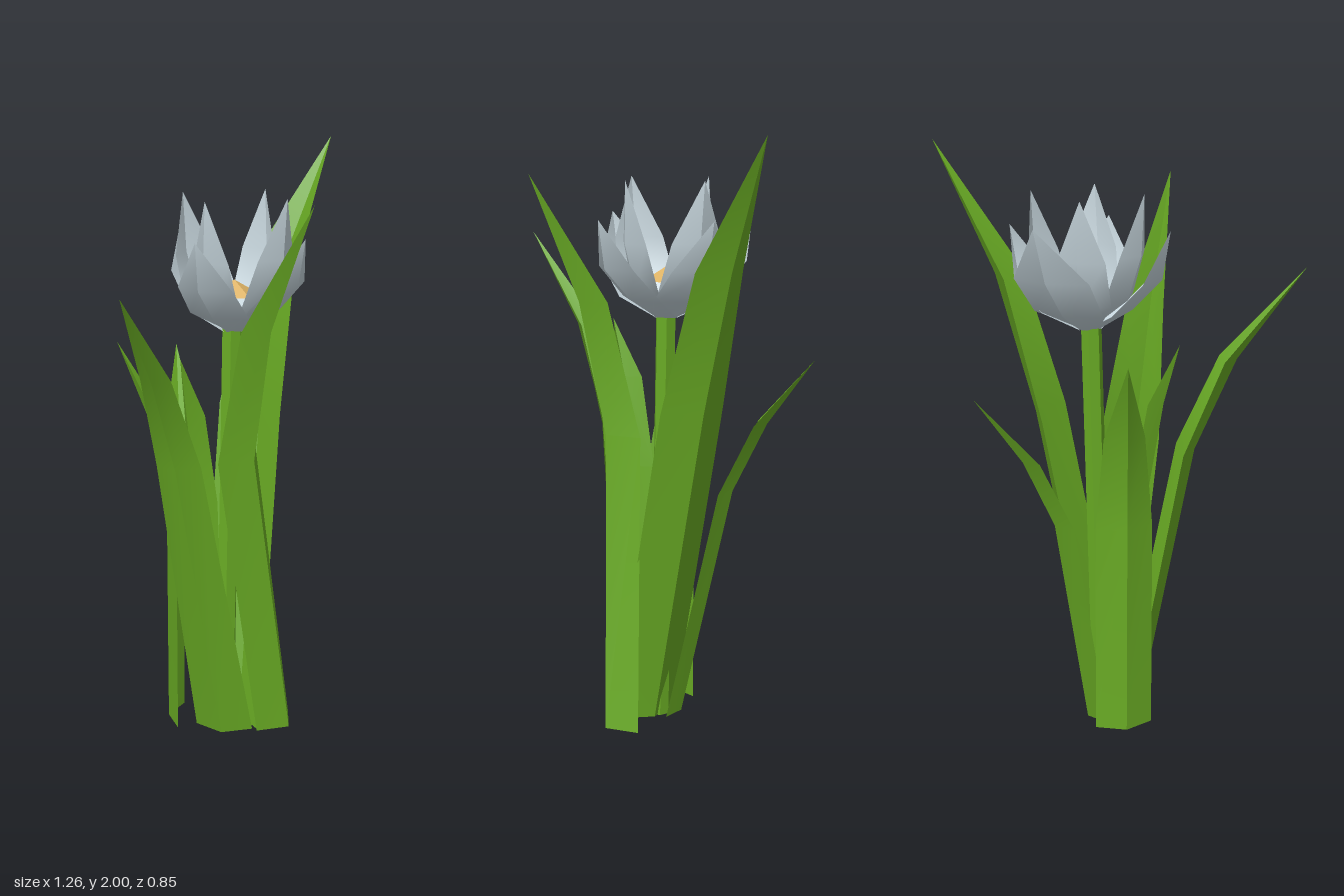
import * as THREE from 'three';

const mat = (name, color) => {
  const m = new THREE.MeshStandardMaterial({ color, side: THREE.DoubleSide });
  m.name = name;
  return m;
};

// Creased blade: each row is [x, y, z, halfWidth]; the centre crease is pushed
// outward by depth along the heading, and the last row is the pointed tip.
// The two halves share no corners, so the crease is sharp and each half is smooth.
function blade(rows, heading, depth) {
  const a = THREE.MathUtils.degToRad(heading);
  const out = new THREE.Vector3(Math.cos(a), 0, Math.sin(a));
  const side = new THREE.Vector3(-out.z, 0, out.x);
  const pts = [], index = [];
  for (const half of [0, 1]) {
    const start = pts.length;
    rows.forEach(([x, y, z, hw], i) => {
      const c = new THREE.Vector3(x, y, z);
      const k = start + 2 * i;
      if (hw === undefined) {
        pts.push(c);
        index.push(k - 2, k, k - 1);
        return;
      }
      const edge = c.clone().addScaledVector(side, half ? hw : -hw);
      const crease = c.clone().addScaledVector(out, depth);
      pts.push(...(half ? [crease, edge] : [edge, crease]));
      if (i > 0) index.push(k - 2, k, k - 1, k - 1, k, k + 1);
    });
  }
  const g = new THREE.BufferGeometry().setFromPoints(pts);
  g.setIndex(index);
  g.computeVertexNormals();
  return g;
}

export function createModel() {
  const model = new THREE.Group();
  model.name = 'floweringPlant';
  const green = mat('leafGreen', 0x69ab24);
  const white = mat('petalPaleBlue', 0xc4d3da);
  const gold = mat('centreGold', 0xdcb163);

  const add = (name, geometry, material, parent = model) => {
    const mesh = new THREE.Mesh(geometry, material);
    mesh.name = name;
    parent.add(mesh);
    return mesh;
  };

  // Leaves
  const leaves = [
    ['leftLeaf', 0, 0.065, [[0, 0, 0.04, 0.13], [0.2, 1.1, -0.015, 0.127], [0.335, 1.57, -0.02, 0.095], [0.63, 2, 0.03]]],
    ['frontLeaf', 92, 0.07, [[0.075, 0.01, 0.178, 0.095], [-0.035, 1.0, 0.098, 0.105], [-0.065, 1.45, 0.18, 0.065], [-0.09, 1.87, 0.42]]],
    ['rightLeaf', 157, 0.05, [[-0.04, 0, 0.05, 0.1], [-0.235, 1.0, 0.005, 0.075], [-0.37, 1.32, 0.018, 0.05], [-0.63, 1.63, 0.09]]],
    ['backLeftLeaf', -43, 0.038, [[0.04, 0, -0.045, 0.075], [0.1, 0.78, -0.215, 0.07], [0.178, 1.02, -0.3, 0.05], [0.33, 1.25, -0.43]]],
    ['backLeaf', 240, 0.045, [[-0.075, 0.01, -0.113, 0.1], [-0.075, 0.75, -0.113, 0.098], [-0.09, 1.08, -0.165, 0.07], [-0.145, 1.36, -0.32]]],
    ['innerLeaf', 185, 0.04, [[-0.04, 0.01, 0, 0.06], [-0.09, 0.85, 0, 0.06], [-0.14, 1.16, 0, 0.045], [-0.23, 1.36, 0.01]]],
  ];
  for (const [name, heading, depth, rows] of leaves) add(name, blade(rows, heading, depth), green);

  // Stem, leaning slightly toward the flower
  const stemPath = new THREE.LineCurve3(new THREE.Vector3(0.035, 0, 0), new THREE.Vector3(0.072, 1.43, 0));
  const stem = new THREE.TubeGeometry(stemPath, 1, 0.035, 6).toNonIndexed();
  stem.computeVertexNormals();
  add('stem', stem, green);

  // Flower head: two staggered rings of petals around a faceted centre
  const flower = new THREE.Group();
  flower.name = 'flowerHead';
  flower.position.set(0.085, 0, 0);
  model.add(flower);

  // Position angle places the petal; twist turns its face around the upright axis.
  const petal = (name, angle, twist, profile, depth) => {
    const a = THREE.MathUtils.degToRad(angle);
    const rows = profile.map(([r, y, hw]) => [r * Math.cos(a), y, r * Math.sin(a), hw]);
    add(name, blade(rows, angle + twist, depth), white, flower);
  };
  const outer = [[0, 1.4, 0.05], [0.105, 1.465, 0.115], [0.205, 1.57, 0.105], [0.275, 1.73]];
  const wide = [[0, 1.4, 0.05], [0.105, 1.465, 0.125], [0.2, 1.59, 0.135], [0.295, 1.77]];
  const inner = [[0, 1.415, 0.05], [0.105, 1.5, 0.1], [0.15, 1.65, 0.085], [0.19, 1.85]];
  petal('outerPetal', 4, 6, outer, 0.045);
  petal('outerPetal', 89, 2, outer, 0.045);
  petal('outerPetal', 172, 4, outer, 0.045);
  petal('outerPetal', -72, -10, wide, 0.045);
  for (const h of [-2, 81, 175, 260]) petal('innerPetal', h, 18, inner, 0.035);

  // Low pointed centre
  const cone = new THREE.ConeGeometry(0.085, 0.05, 5).toNonIndexed();
  cone.computeVertexNormals();
  const centre = add('flowerCentre', cone, gold, flower);
  centre.position.y = 1.545;
  centre.rotation.y = -Math.PI / 2;

  return model;
}
